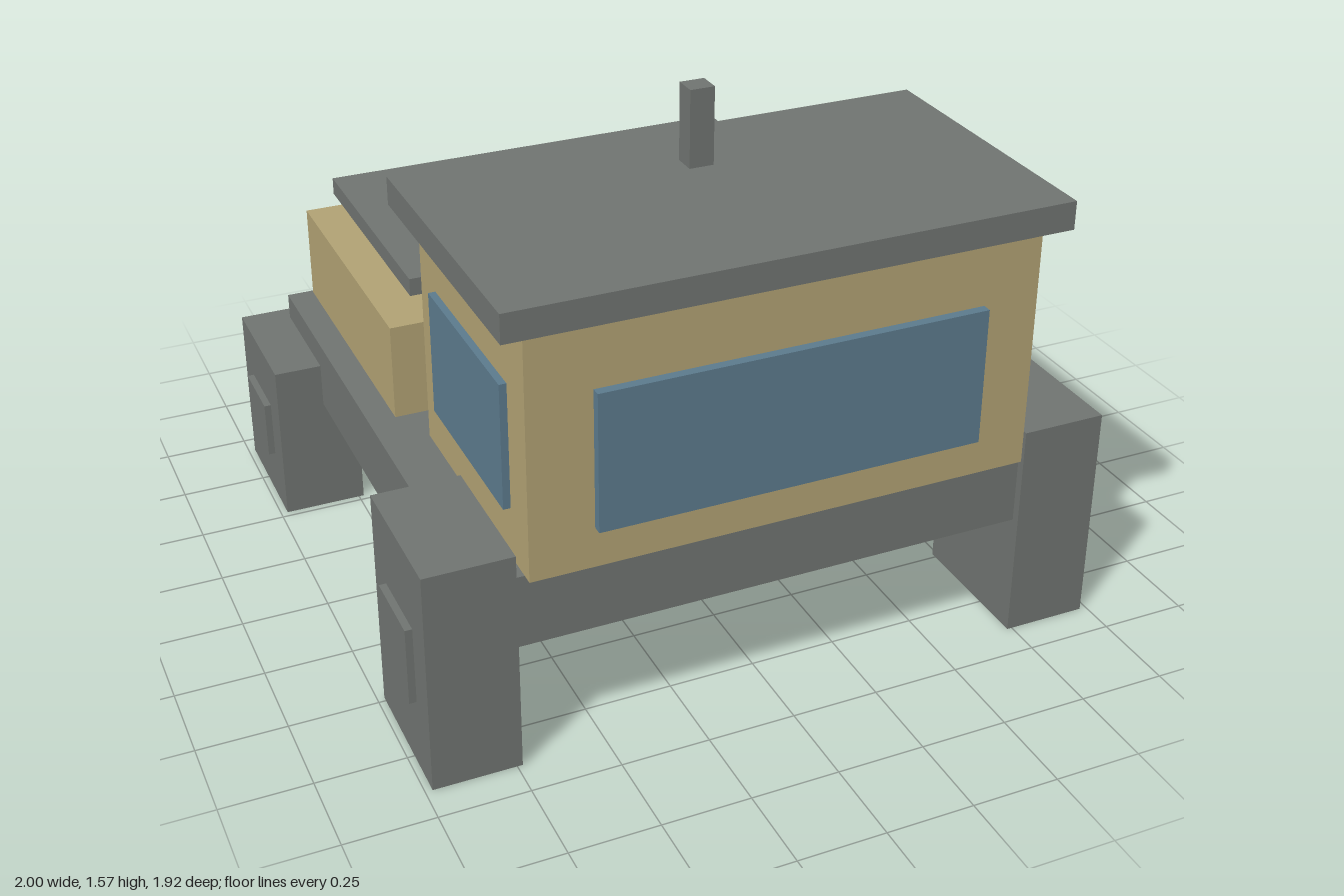
import * as THREE from 'three';

export function createModel() {
  const model = new THREE.Group();
  model.name = 'vehicle';

  const material = (name, color) => {
    const m = new THREE.MeshStandardMaterial({ color });
    m.name = name;
    return m;
  };
  const gray = material('gray', 0x6f7370);
  const tan = material('tan', 0xb0a173);
  const blue = material('blue', 0x5b7a8c);

  // Box given by its [min, max] extents on each axis
  function block(name, mat, [x0, x1], [y0, y1], [z0, z1]) {
    const mesh = new THREE.Mesh(new THREE.BoxGeometry(x1 - x0, y1 - y0, z1 - z0), mat);
    mesh.position.set((x0 + x1) / 2, (y0 + y1) / 2, (z0 + z1) / 2);
    mesh.name = name;
    model.add(mesh);
  }

  // Same box on the left (+x) and right (-x) sides
  function pair(name, mat, [x0, x1], y, z) {
    block(name + 'Left', mat, [x0, x1], y, z);
    block(name + 'Right', mat, [-x1, -x0], y, z);
  }

  block('chassis', gray, [-0.84, 0.84], [0.355, 0.565], [-0.873, 0.873]);

  // Square wheels with hub plates, taller at the front
  pair('frontWheel', gray, [0.735, 0.98], [0, 0.645], [0.485, 0.897]);
  pair('frontHub', gray, [0.97, 1.0], [0.21, 0.435], [0.583, 0.8]);
  pair('rearWheel', gray, [0.735, 0.98], [0, 0.487], [-0.932, -0.521]);
  pair('rearHub', gray, [0.97, 1.0], [0.158, 0.33], [-0.833, -0.622]);

  // Cab with windows, roof and stack
  block('cab', tan, [-0.71, 0.71], [0.575, 1.27], [0.145, 0.92]);
  block('roof', gray, [-0.777, 0.777], [1.27, 1.35], [0.106, 0.958]);
  block('stack', gray, [-0.035, 0.035], [1.35, 1.57], [0.312, 0.378]);
  block('frontWindow', blue, [-0.54, 0.54], [0.7, 1.09], [0.935, 0.961]);
  pair('sideWindow', blue, [0.705, 0.73], [0.722, 1.075], [0.266, 0.8]);

  // Rear body with raised lid
  block('rearBody', tan, [-0.762, 0.762], [0.565, 0.847], [-0.862, -0.005]);
  block('rearLid', gray, [-0.655, 0.655], [0.857, 0.91], [-0.93, -0.153]);

  // Rear panel, centre light and corner lamps
  block('rearPanel', gray, [-0.65, 0.65], [0.6, 0.78], [-0.905, -0.867]);
  block('centreLight', blue, [-0.04, 0.04], [0.715, 0.775], [-0.942, -0.905]);
  pair('rearLamp', tan, [0.58, 0.655], [0.58, 0.668], [-0.961, -0.925]);

  return model;
}
